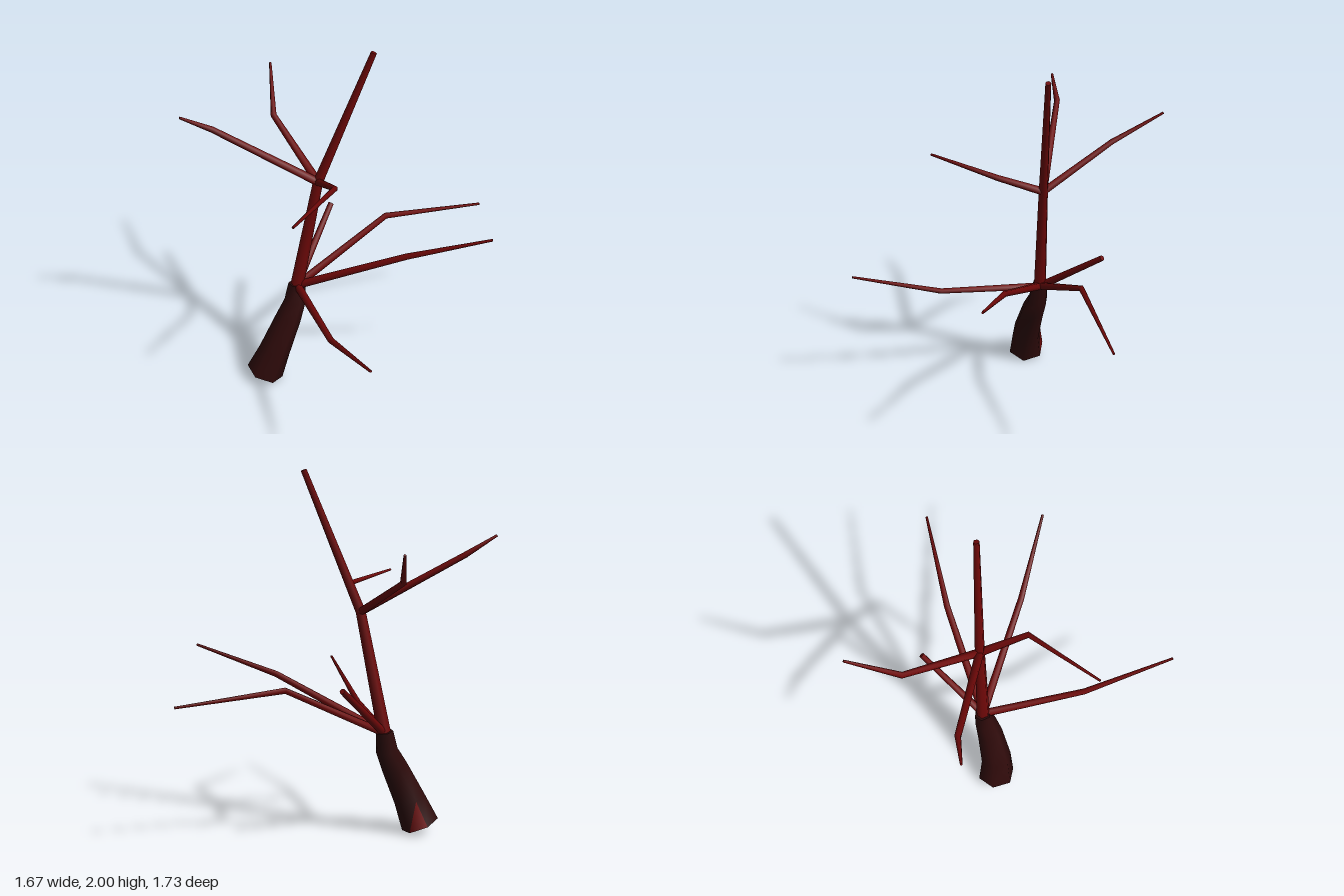
import * as THREE from 'three';

// Tapered limb: one ring per point, capped at both ends.
// The foot cap comes first in the index, then the sides, then the tip cap.
function limbGeometry(path, radii, sides) {
  const pts = path.map((p) => new THREE.Vector3(...p));
  const pos = [];
  const idx = [];
  const normal = new THREE.Vector3(1, 0, 0);
  const rings = pts.map((p, i) => {
    const before = p.clone().sub(pts[Math.max(i - 1, 0)]).normalize();
    const after = pts[Math.min(i + 1, pts.length - 1)].clone().sub(p).normalize();
    const t = before.add(after).normalize();
    normal.addScaledVector(t, -normal.dot(t)).normalize();
    const side = new THREE.Vector3().crossVectors(t, normal);
    return Array.from({ length: sides }, (_, k) => {
      const a = ((k + 0.5) / sides) * Math.PI * 2;
      return p.clone()
        .addScaledVector(normal, Math.cos(a) * radii[i])
        .addScaledVector(side, Math.sin(a) * radii[i]);
    });
  });
  const addRing = (ring) => {
    const first = pos.length / 3;
    ring.forEach((v) => pos.push(v.x, v.y, v.z));
    return first;
  };
  rings.forEach(addRing);

  // Caps use their own corners so their edges stay sharp
  const foot = addRing(rings[0]);
  const tip = addRing(rings[rings.length - 1]);
  for (let k = 1; k < sides - 1; k++) idx.push(foot, foot + k + 1, foot + k);
  for (let i = 0; i < rings.length - 1; i++) {
    for (let k = 0; k < sides; k++) {
      const a = i * sides + k;
      const b = i * sides + ((k + 1) % sides);
      idx.push(a, b, b + sides, a, b + sides, a + sides);
    }
  }
  for (let k = 1; k < sides - 1; k++) idx.push(tip, tip + k, tip + k + 1);

  const geo = new THREE.BufferGeometry();
  geo.setAttribute('position', new THREE.Float32BufferAttribute(pos, 3));
  geo.setIndex(idx);
  geo.computeVertexNormals();
  return geo;
}

export function createModel() {
  const tree = new THREE.Group();
  tree.name = 'bareTree';
  const bark = new THREE.MeshStandardMaterial({ color: 0x2e0a0a });
  bark.name = 'dark bark';
  const wood = new THREE.MeshStandardMaterial({ color: 0x6e0808 });
  wood.name = 'red wood';

  const add = (name, geometry, material) => {
    const mesh = new THREE.Mesh(geometry, material);
    mesh.name = name;
    tree.add(mesh);
  };

  // Leaning six-sided trunk with a flared foot
  const trunk = limbGeometry(
    [[-0.537, 0.042, -0.207], [-0.48, 0.19, -0.188], [-0.385, 0.385, -0.193], [-0.337, 0.48, -0.203], [-0.318, 0.59, -0.212]],
    [0.106, 0.088, 0.072, 0.06, 0.047], 6);
  // Bare wood on the cut foot and one split triangle above it
  const bare = 4 * 3 + 3;
  trunk.addGroup(0, bare, 1);
  trunk.addGroup(bare, trunk.index.count - bare, 0);
  add('trunk', trunk, [bark, wood]);

  // Slim upper stem
  const lowFork = [-0.318, 0.58, -0.21];
  const highFork = [-0.19, 1.245, -0.178];
  add('stem', limbGeometry([lowFork, highFork, [0.098, 1.993, -0.09]], [0.037, 0.027, 0.016], 6), wood);

  // Side branches: fork, elbow and tip
  const branches = [
    ['lowerLeftBranch', lowFork, [0.25, 0.86, -0.23], [0.83, 0.8, -0.17]],
    ['lowerFrontLeftBranch', lowFork, [0.167, 0.863, 0.175], [0.547, 1.007, 0.427]],
    ['lowerFrontBranch', lowFork, [-0.387, 0.622, 0.363], [-0.41, 0.795, 0.863]],
    ['upperBackBranch', highFork, [-0.25, 1.452, -0.605], [-0.148, 1.628, -0.862]],
    ['upperRightBranch', highFork, [-0.67, 1.56, -0.443], [-0.833, 1.658, -0.475]],
    ['upperFrontBranch', highFork, [-0.215, 1.358, 0.078], [-0.573, 1.386, 0.34]],
  ];
  branches.forEach(([name, ...path]) => add(name, limbGeometry(path, [0.023, 0.017, 0.007], 6), wood));

  // Straight broken stub
  add('backStub', limbGeometry([lowFork, [0.015, 0.885, -0.45]], [0.023, 0.016], 6), wood);

  return tree;
}
